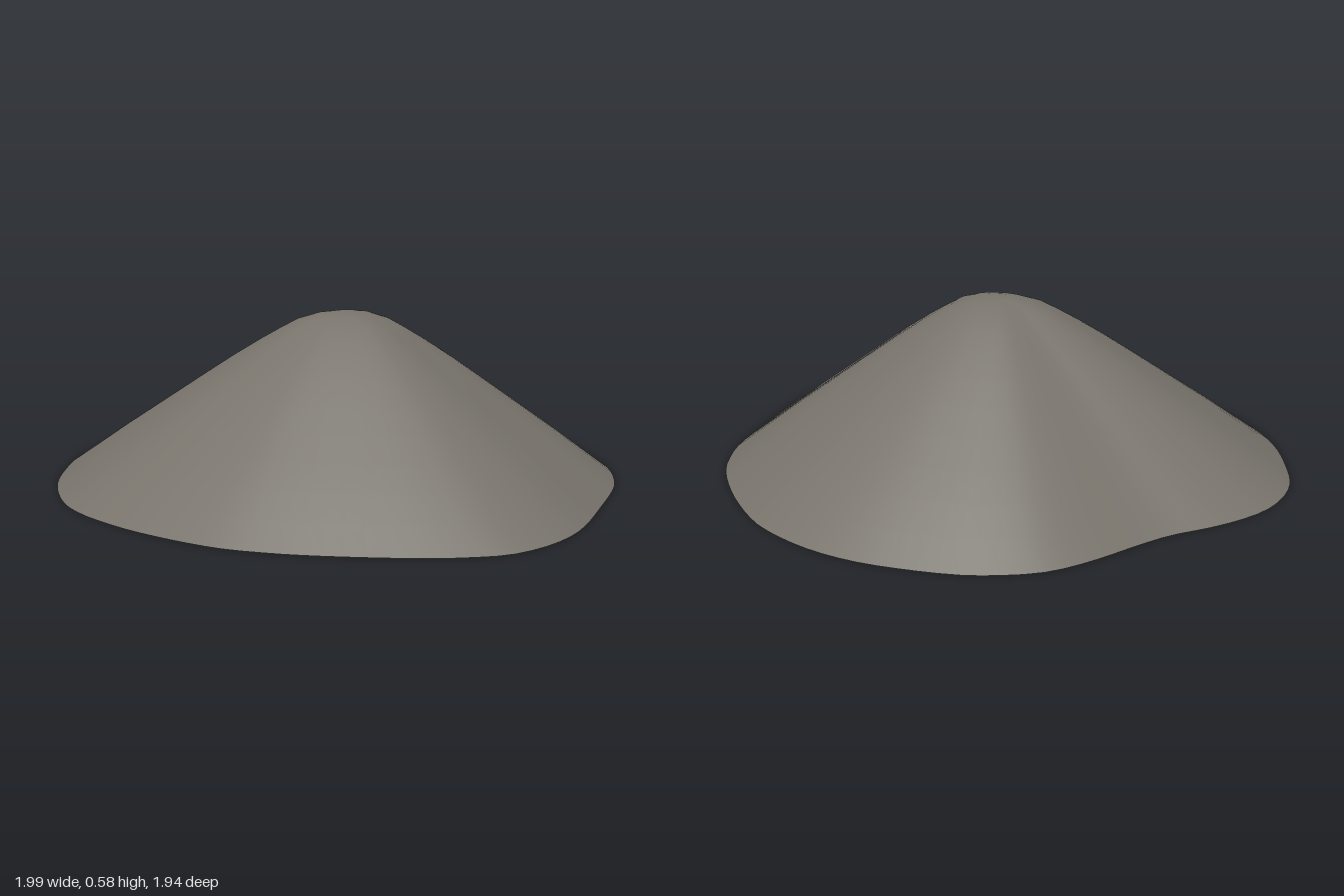
import * as THREE from 'three';
import { mergeVertices } from 'three/addons/utils/BufferGeometryUtils.js';

// Foot of the mound as x, z pairs, running from +x towards +z
const FOOT = [
  [0.99, 0.145], [0.97, 0.29], [0.9, 0.405], [0.805, 0.515], [0.56, 0.73], [0.435, 0.815], [0.31, 0.88],
  [0.02, 0.95], [-0.165, 0.963], [-0.29, 0.957], [-0.42, 0.925], [-0.645, 0.8], [-0.835, 0.62],
  [-0.92, 0.515], [-0.975, 0.395], [-1, 0.27], [-0.99, 0.14], [-0.96, 0.02], [-0.915, -0.105],
  [-0.895, -0.215], [-0.865, -0.455], [-0.825, -0.59], [-0.75, -0.695], [-0.655, -0.785],
  [-0.42, -0.915], [-0.29, -0.957], [-0.175, -0.975], [-0.035, -0.975], [0.085, -0.957],
  [0.32, -0.865], [0.53, -0.74], [0.625, -0.65], [0.705, -0.55], [0.85, -0.28], [0.935, -0.105], [0.975, 0.015],
];

// Slope as (share of the way from peak to foot, height)
const SLOPE = [
  [0, 0.582], [0.05, 0.58], [0.1, 0.572], [0.17, 0.549], [0.23, 0.516], [0.3, 0.475],
  [0.4, 0.412], [0.5, 0.345], [0.6, 0.277], [0.7, 0.209], [0.8, 0.141], [0.9, 0.07], [1, 0],
];
const PEAK = { x: -0.04, z: 0.012 };
const COLUMNS = 96;

// Scaled copies of the foot outline stacked from the peak down
function slopeGeometry(outline) {
  const positions = [], index = [];
  for (const [t, y] of SLOPE) {
    for (const p of outline) {
      positions.push(PEAK.x + (p.x - PEAK.x) * t, y, PEAK.z + (p.z - PEAK.z) * t);
    }
  }
  for (let i = 0; i < SLOPE.length - 1; i++) {
    for (let j = 0; j < COLUMNS; j++) {
      const k = (j + 1) % COLUMNS;
      const a = i * COLUMNS + j, b = i * COLUMNS + k;
      const c = a + COLUMNS, d = b + COLUMNS;
      if (i > 0) index.push(a, b, c);
      index.push(b, d, c);
    }
  }
  let geometry = new THREE.BufferGeometry();
  geometry.setAttribute('position', new THREE.Float32BufferAttribute(positions, 3));
  geometry.setIndex(index);
  geometry = mergeVertices(geometry); // joins the peak into one point
  geometry.computeVertexNormals();
  return geometry;
}

export function createModel() {
  const group = new THREE.Group();
  group.name = 'mound';
  const stone = new THREE.MeshStandardMaterial({ color: 0x78746c });
  stone.name = 'grey stone';

  const curve = new THREE.CatmullRomCurve3(
    FOOT.map(([x, z]) => new THREE.Vector3(x, 0, z + 0.005)), true);
  const outline = curve.getSpacedPoints(COLUMNS).slice(0, COLUMNS);

  const slope = new THREE.Mesh(slopeGeometry(outline), stone);
  slope.name = 'slope';
  group.add(slope);

  // Flat underside, facing down
  const shape = new THREE.Shape(outline.map((p) => new THREE.Vector2(p.x, p.z)));
  const base = new THREE.Mesh(new THREE.ShapeGeometry(shape).rotateX(Math.PI / 2), stone);
  base.name = 'base';
  group.add(base);

  return group;
}
